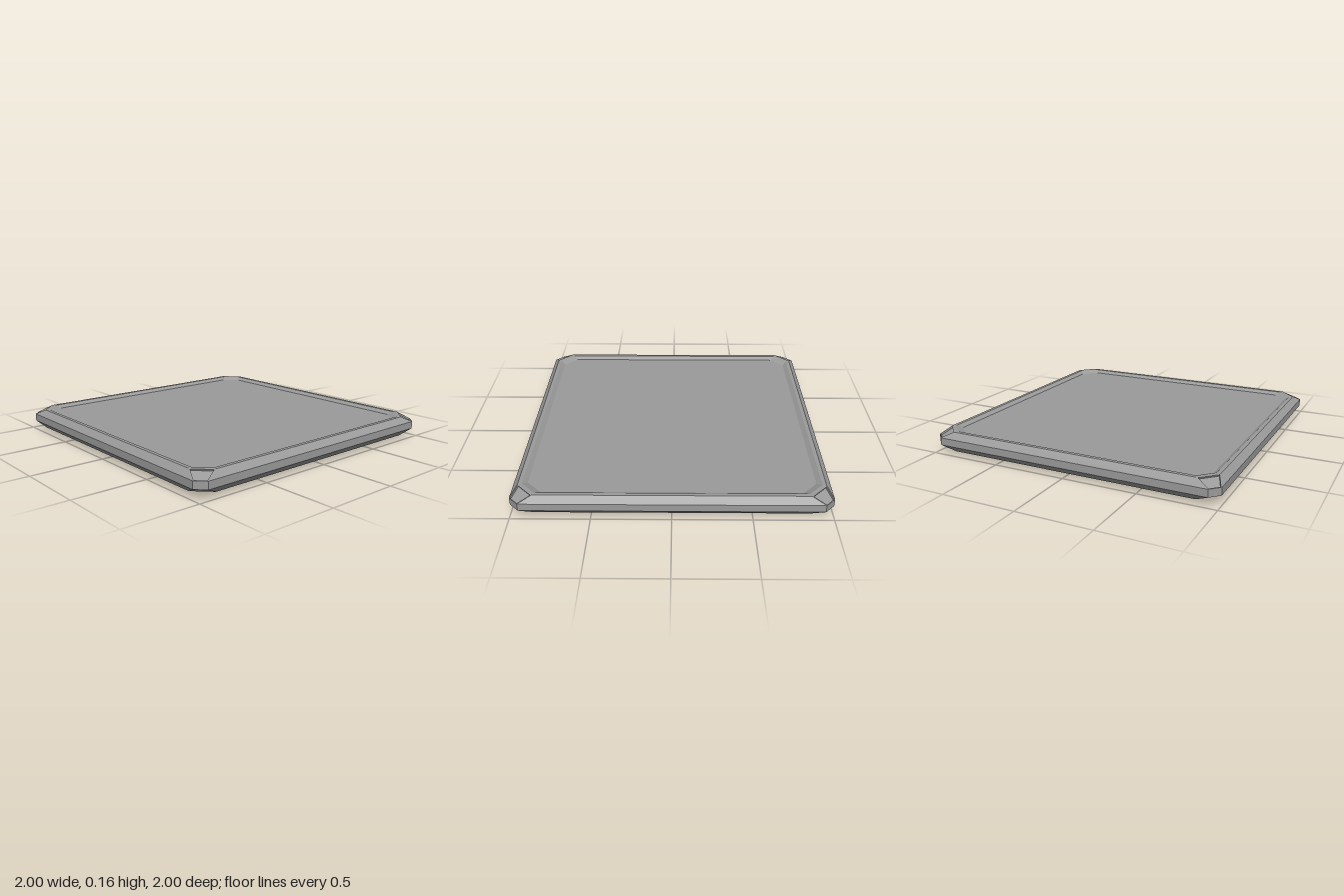
import * as THREE from 'three';

const grey = new THREE.MeshStandardMaterial({ color: 0x9b9b9b, flatShading: true });

function add(group, name, geometry) {
  const mesh = new THREE.Mesh(geometry, grey);
  mesh.name = name;
  group.add(mesh);
}

// Square outline with cut corners: half width h, straight edges reach to k
function outline(h, k) {
  return [[h, -k], [h, k], [k, h], [-k, h], [-h, k], [-h, -k], [-k, -h], [k, -h]];
}

const toPath = (pts, Type) => new Type(pts.map(([x, z]) => new THREE.Vector2(x, z)));

// Flat plate lying between two heights, with holes through it
function plate(pts, holes, yLow, yHigh) {
  const shape = toPath(pts, THREE.Shape);
  shape.holes = holes.map((hole) => toPath(hole, THREE.Path));
  return new THREE.ExtrudeGeometry(shape, { depth: yHigh - yLow, bevelEnabled: false })
    .rotateX(Math.PI / 2).translate(0, yHigh, 0);
}

function turn([x, z], angle) {
  const c = Math.cos(angle), s = Math.sin(angle);
  return [x * c - z * s, x * s + z * c];
}

function quadGeometry(quads) {
  const pos = [];
  for (const [a, b, c, d] of quads) {
    for (const p of [a, b, c, a, c, d]) pos.push(p.x, p.y, p.z);
  }
  const g = new THREE.BufferGeometry();
  g.setAttribute('position', new THREE.Float32BufferAttribute(pos, 3));
  g.computeVertexNormals();
  return g;
}

// Quad with a sunken middle: rim, walls and floor
function sunkenQuad(corners, inset, depth) {
  const [a, b, , d] = corners;
  const normal = b.clone().sub(a).cross(d.clone().sub(a)).normalize();
  const centre = corners.reduce((s, p) => s.add(p), new THREE.Vector3()).multiplyScalar(0.25);
  const inner = corners.map((p) => p.clone().lerp(centre, inset));
  const floor = inner.map((p) => p.clone().addScaledVector(normal, -depth));
  const quads = [floor];
  for (let i = 0; i < 4; i++) {
    const j = (i + 1) % 4;
    quads.push([corners[i], corners[j], inner[j], inner[i]]);
    quads.push([inner[i], inner[j], floor[j], floor[i]]);
  }
  return quads;
}

export function createModel() {
  const model = new THREE.Group();
  model.name = 'squareTile';

  // Rim profile, from the underside around the edge to the top panel
  const rings = [
    [0.96, 0.853, 0.021], [1, 0.94, 0.065], [1, 0.94, 0.115],
    [0.96, 0.853, 0.155], [0.935, 0.845, 0.155], [0.905, 0.81, 0.135],
  ].map(([h, k, y]) => outline(h, k).map(([x, z]) => new THREE.Vector3(x, y, z)));

  const rimQuads = [], cornerQuads = [];
  for (let r = 0; r < rings.length - 1; r++) {
    for (let i = 0; i < 8; i++) {
      const j = (i + 1) % 8;
      const quad = [rings[r][i], rings[r + 1][i], rings[r + 1][j], rings[r][j]];
      if (r === 2 && i % 2 === 1) cornerQuads.push(...sunkenQuad(quad, 0.11, 0.012));
      else rimQuads.push(quad);
    }
  }
  add(model, 'bevelledRim', quadGeometry(rimQuads));
  add(model, 'cornerRecesses', quadGeometry(cornerQuads));

  // Sunken top panel
  add(model, 'topPanel', new THREE.ShapeGeometry(toPath(outline(0.905, 0.81), THREE.Shape))
    .rotateX(-Math.PI / 2).translate(0, 0.135, 0));

  // Underside: diagonal cross groove and four triangular pockets
  const w = 0.076, l = 1.274;
  const cross = [
    [l, -w], [l, w], [w, w], [w, l], [-w, l], [-w, w],
    [-l, w], [-l, -w], [-w, -w], [-w, -l], [w, -l], [w, -w],
  ].map((p) => turn(p, Math.PI / 4));
  const pockets = [0, 1, 2, 3].map((i) =>
    [[0, 0.262], [0.573, 0.835], [-0.573, 0.835]].map((p) => turn(p, i * Math.PI / 2)));
  const bottom = outline(0.96, 0.853);
  add(model, 'underside', plate(bottom, [cross, ...pockets], 0.021, 0.041));

  // Groove floor with a small square pit at the centre
  const pit = [[w, -w], [w, w], [-w, w], [-w, -w]].map((p) => turn(p, Math.PI / 4));
  add(model, 'grooveFloor', plate(bottom, [pit], 0.041, 0.056));
  add(model, 'pitFloor', plate(bottom, [], 0.056, 0.07));

  // Tapered central peg
  add(model, 'centrePeg', new THREE.CylinderGeometry(0.07, 0.047, 0.056, 4)
    .translate(0, 0.028, 0));

  return model;
}
